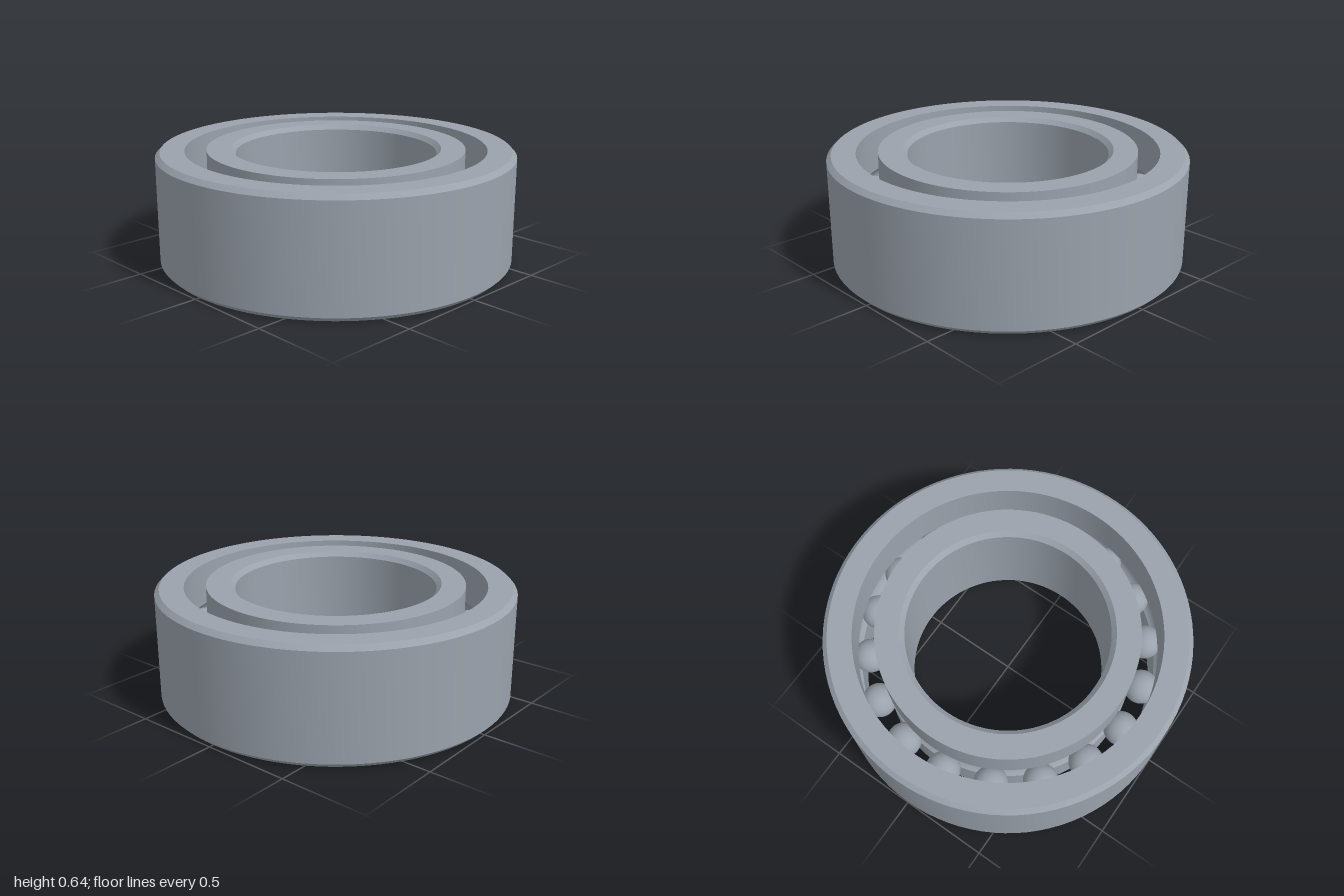
import * as THREE from 'three';
import { toCreasedNormals } from 'three/addons/utils/BufferGeometryUtils.js';

const HEIGHT = 0.636, MID = HEIGHT / 2, CHAMFER = 0.026;
const PITCH = 0.78, BALL = 0.096, GAP = 0.06; // GAP: half the space between the rings
const COUNT = 18;

// Grooved raceway: side +1 = groove in the outer ring, -1 = in the inner ring
function raceway(side) {
  const half = Math.acos(GAP / BALL), steps = 12, points = [];
  for (let i = 0; i <= steps; i++) {
    const a = half * (1 - 2 * i / steps);
    points.push([PITCH + side * BALL * Math.cos(a), MID + side * BALL * Math.sin(a)]);
  }
  return points;
}

// Closed counter-clockwise [radius, height] profile turned into a ring
function makeRing(name, profile, material) {
  const points = [...profile, profile[0]].map(([r, y]) => new THREE.Vector2(r, y));
  const geometry = toCreasedNormals(new THREE.LatheGeometry(points, 96), Math.PI / 6);
  const mesh = new THREE.Mesh(geometry, material);
  mesh.name = name;
  return mesh;
}

export function createModel() {
  const steel = new THREE.MeshStandardMaterial({ color: 0x9aa2ac });
  steel.name = 'steel';
  const model = new THREE.Group();
  model.name = 'ballBearing';

  // Outer ring: chamfered outside, raceway inside
  model.add(makeRing('outerRing', [
    [1 - CHAMFER, 0], [1, CHAMFER], [1, HEIGHT - CHAMFER], [1 - CHAMFER, HEIGHT],
    [PITCH + GAP, HEIGHT], ...raceway(1), [PITCH + GAP, 0],
  ], steel));

  // Inner ring: raceway outside, chamfered bore
  const bore = 0.56;
  model.add(makeRing('innerRing', [
    [PITCH - GAP, 0], ...raceway(-1), [PITCH - GAP, HEIGHT],
    [bore + CHAMFER, HEIGHT], [bore, HEIGHT - CHAMFER], [bore, CHAMFER], [bore + CHAMFER, 0],
  ], steel));

  // Balls evenly spaced around the pitch circle
  const balls = new THREE.Group();
  balls.name = 'balls';
  const ballGeometry = new THREE.SphereGeometry(BALL, 32, 20);
  for (let i = 0; i < COUNT; i++) {
    const a = THREE.MathUtils.degToRad(2 + i * 360 / COUNT);
    const ball = new THREE.Mesh(ballGeometry, steel);
    ball.name = 'ball';
    ball.position.set(PITCH * Math.sin(a), MID, -PITCH * Math.cos(a));
    balls.add(ball);
  }
  model.add(balls);
  return model;
}
